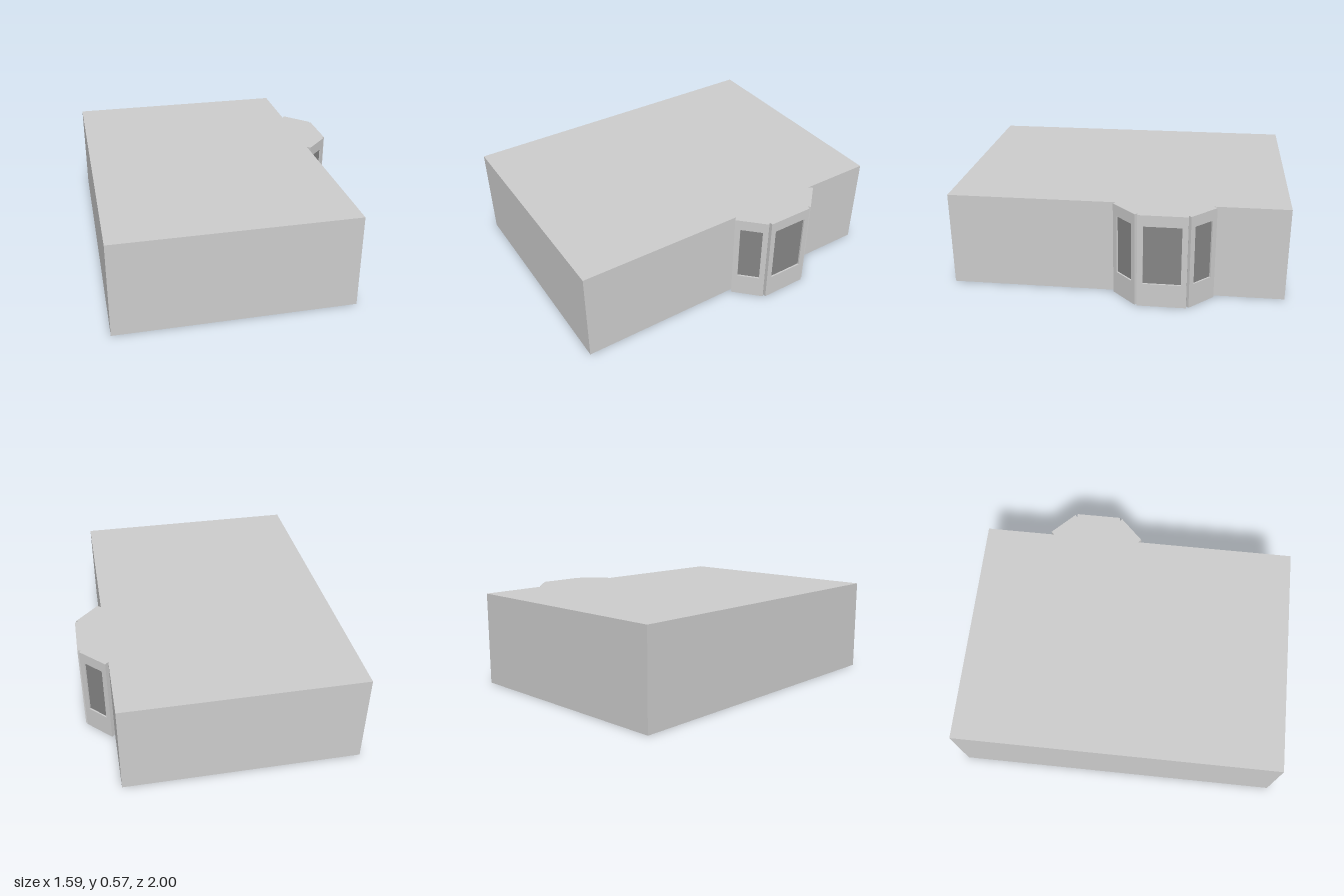
import * as THREE from 'three';

const HEIGHT = 0.573;
const WALL_THICKNESS = 0.03;
const BAY_Z = -0.284;
const SILL = 0.145, HEAD = 0.505, RECESS = 0.01;

const wallMaterial = new THREE.MeshStandardMaterial({ color: 0xcccccc });
const paneMaterial = new THREE.MeshStandardMaterial({ color: 0x858585 });

function rectangle(PathType, width, bottom, top) {
  const w = width / 2;
  return new PathType([[-w, bottom], [w, bottom], [w, top], [-w, top]].map(p => new THREE.Vector2(...p)));
}

// Wall panel with a window opening and a set-back pane; its outer face lies on local z = 0
function bayWall(name, width, windowWidth, x, z, angle) {
  const group = new THREE.Group();
  group.name = name;

  const shape = rectangle(THREE.Shape, width, 0, HEIGHT);
  shape.holes.push(rectangle(THREE.Path, windowWidth, SILL, HEAD));
  const panelGeometry = new THREE.ExtrudeGeometry(shape, { depth: WALL_THICKNESS, bevelEnabled: false });
  panelGeometry.translate(0, 0, -WALL_THICKNESS);
  const panel = new THREE.Mesh(panelGeometry, wallMaterial);
  panel.name = name + 'Panel';

  const paneDepth = 0.01;
  const pane = new THREE.Mesh(new THREE.BoxGeometry(windowWidth, HEAD - SILL, paneDepth), paneMaterial);
  pane.name = name + 'WindowPane';
  pane.position.set(0, (SILL + HEAD) / 2, -RECESS - paneDepth / 2);

  group.add(panel, pane);
  group.position.set(x, 0, z);
  group.rotation.y = angle;
  return group;
}

export function createModel() {
  const model = new THREE.Group();
  model.name = 'roomWithBayWindow';

  // Solid room block, its plan including the core of the bay (plan y is -z)
  const plan = new THREE.Shape([
    [-0.797, -1], [0.628, -1],
    [0.628, 0.005], [0.767, 0.144], [0.767, 0.424], [0.628, 0.563],
    [0.628, 1], [-0.797, 1],
  ].map(p => new THREE.Vector2(...p)));
  const roomGeometry = new THREE.ExtrudeGeometry(plan, { depth: HEIGHT, bevelEnabled: false });
  roomGeometry.rotateX(-Math.PI / 2);
  const room = new THREE.Mesh(roomGeometry, wallMaterial);
  room.name = 'roomBlock';
  model.add(room);

  // Bay: one straight wall between two walls at 45 degrees
  model.add(bayWall('bayCentreWall', 0.286, 0.219, 0.797, BAY_Z, Math.PI / 2));
  for (const side of [1, -1]) {
    const name = side > 0 ? 'bayFrontWall' : 'bayBackWall';
    model.add(bayWall(name, 0.2, 0.134, 0.718, BAY_Z + side * 0.228, Math.PI / 2 - side * Math.PI / 4));
  }
  return model;
}
